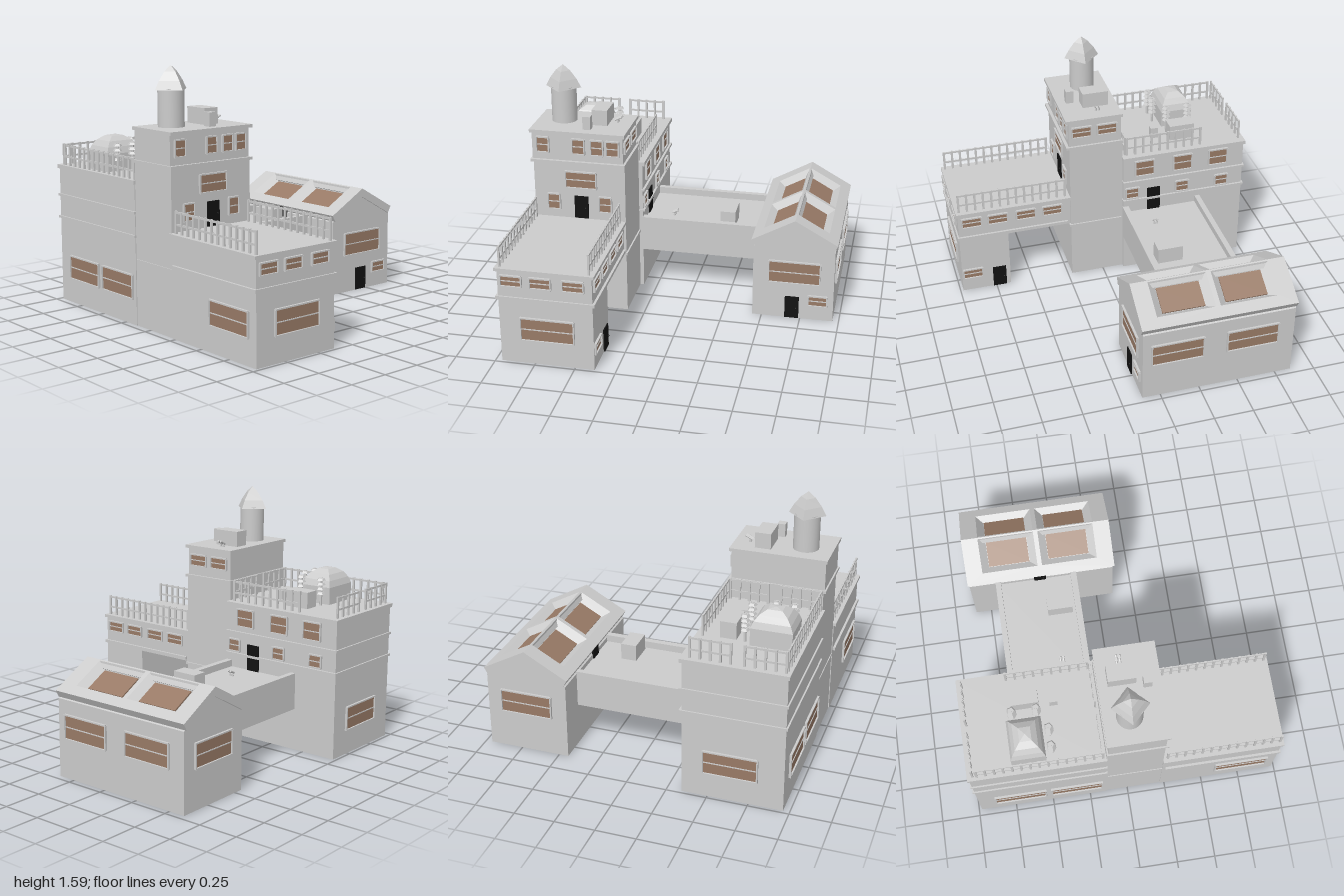
import * as THREE from 'three';

const mat = (color, extra = {}) => new THREE.MeshStandardMaterial({ color, ...extra });
const GREY = mat(0xcccccc, { flatShading: true });
const THIN = mat(0xcccccc, { flatShading: true, side: THREE.DoubleSide });
const GLASS = mat(0x987a66);
const BLACK = mat(0x111111);

function add(parent, name, geometry, material = GREY, x = 0, y = 0, z = 0) {
  const m = new THREE.Mesh(geometry, material);
  m.name = name;
  m.position.set(x, y, z);
  parent.add(m);
  return m;
}

// Box given by its limits on each axis
function box(parent, name, x0, x1, y0, y1, z0, z1, material = GREY) {
  return add(parent, name, new THREE.BoxGeometry(x1 - x0, y1 - y0, z1 - z0), material,
    (x0 + x1) / 2, (y0 + y1) / 2, (z0 + z1) / 2);
}

const TURN = { front: 0, left: Math.PI / 2, back: Math.PI, right: -Math.PI / 2 };

// Group on a wall: plane is the wall's coordinate, u the position along it
function onWall(parent, name, side, plane, u, y) {
  const g = new THREE.Group();
  g.name = name;
  const alongX = side === 'front' || side === 'back';
  g.position.set(alongX ? u : plane, y, alongX ? plane : u);
  g.rotation.y = TURN[side];
  parent.add(g);
  return g;
}

function windowOn(parent, side, plane, u0, u1, y0, y1) {
  const g = onWall(parent, 'window', side, plane, (u0 + u1) / 2, (y0 + y1) / 2);
  const w = Math.abs(u1 - u0) / 2, h = (y1 - y0) / 2, t = 0.009;
  box(g, 'windowGlass', -w, w, -h, h, -0.005, 0.004, GLASS);
  for (const s of [-1, 1]) {
    box(g, 'windowJamb', s * w - t / 2, s * w + t / 2, -h, h, -0.005, 0.014);
    box(g, 'windowRail', -w, w, s * h - t / 2, s * h + t / 2, -0.005, 0.014);
  }
  box(g, 'windowBar', -w, w, -0.003, 0.003, 0, 0.008);
}

function doorOn(parent, side, plane, u, y, w = 0.09, h = 0.15) {
  const g = onWall(parent, 'door', side, plane, u, y);
  box(g, 'doorPanel', -w / 2, w / 2, 0, h, -0.005, 0.008, BLACK);
  add(g, 'doorKnob', new THREE.SphereGeometry(0.006, 8, 6), BLACK, w * 0.32, h * 0.48, 0.012);
}

// Lattice railing between two ground points
function railing(parent, x0, z0, x1, z1, y, h = 0.135) {
  const g = new THREE.Group();
  g.name = 'railing';
  g.position.set(x0, y, z0);
  g.rotation.y = -Math.atan2(z1 - z0, x1 - x0);
  parent.add(g);
  const len = Math.hypot(x1 - x0, z1 - z0), n = Math.round(len / 0.055);
  for (let i = 0; i <= n; i++) {
    const u = (i / n) * len;
    box(g, 'railPost', u - 0.007, u + 0.007, 0, h, -0.006, 0.006);
  }
  for (const f of [0.4, 0.93]) box(g, 'railBar', 0, len, h * f - 0.006, h * f + 0.006, -0.004, 0.004);
}

function frontWing(root) {
  const g = new THREE.Group();
  g.name = 'frontWing';
  root.add(g);
  // Solid pier in front, then a bay open to the left and closed by a thin wall
  box(g, 'pier', -0.96, -0.38, 0, 0.42, 0.65, 0.98);
  box(g, 'bayWall', -0.96, -0.945, 0, 0.42, 0.22, 0.65);
  box(g, 'upperFloor', -0.96, -0.38, 0.415, 0.615, 0.22, 0.98);
  box(g, 'floorTrim', -0.975, -0.365, 0.425, 0.445, 0.24, 0.99);
  box(g, 'roofSlab', -0.975, -0.365, 0.61, 0.63, 0.22, 0.99);
  for (const x of [-0.945, -0.4]) railing(g, x, 0.25, x, 0.965, 0.63);
  windowOn(g, 'front', 0.98, -0.83, -0.5, 0.16, 0.31);
  for (const [a, b] of [[-0.94, -0.81], [-0.76, -0.63], [-0.56, -0.43]]) windowOn(g, 'front', 0.98, a, b, 0.515, 0.585);
  for (const z of [0.89, 0.715, 0.525, 0.345]) windowOn(g, 'left', -0.38, z - 0.065, z + 0.065, 0.515, 0.585);
  windowOn(g, 'left', -0.38, 0.84, 0.97, 0.1, 0.17);
  doorOn(g, 'left', -0.38, 0.725, 0.003);
  windowOn(g, 'right', -0.96, 0.58, 0.92, 0.16, 0.31);
}

function tower(root) {
  const g = new THREE.Group();
  g.name = 'tower';
  root.add(g);
  box(g, 'towerBody', -0.955, -0.365, 0, 1.01, -0.14, 0.22);
  box(g, 'lowerTrim', -0.96, -0.355, 0.4, 0.415, -0.13, 0.23);
  box(g, 'upperTrim', -0.97, -0.36, 1.005, 1.022, -0.14, 0.24);
  box(g, 'topRoom', -0.96, -0.375, 1.02, 1.2, -0.13, 0.22);
  box(g, 'towerRoof', -0.97, -0.36, 1.2, 1.22, -0.14, 0.24);
  for (const [a, b] of [[-0.93, -0.85], [-0.7, -0.62], [-0.58, -0.5], [-0.48, -0.4]]) windowOn(g, 'front', 0.22, a, b, 1.07, 1.17);
  windowOn(g, 'front', 0.22, -0.75, -0.55, 0.84, 0.95);
  for (const x of [-0.83, -0.495]) windowOn(g, 'front', 0.22, x - 0.04, x + 0.04, 0.685, 0.79);
  doorOn(g, 'front', 0.22, -0.65, 0.635);
  for (const z of [0.135, -0.035]) windowOn(g, 'left', -0.375, z - 0.065, z + 0.065, 1.085, 1.16);
  // Round turret with a curved four-sided cap
  add(g, 'turret', new THREE.CylinderGeometry(0.08, 0.08, 0.23, 24), mat(0xcccccc), -0.8, 1.335, 0.02);
  const cap = [[0, 1.44], [0.115, 1.44], [0.085, 1.495], [0.045, 1.548], [0, 1.585]].map(p => new THREE.Vector2(...p));
  add(g, 'turretCap', new THREE.LatheGeometry(cap, 4), THIN, -0.8, 0, 0.02);
  box(g, 'roofUnit', -0.605, -0.505, 1.22, 1.32, -0.08, 0.09);
  box(g, 'ventBox', -0.64, -0.59, 1.22, 1.305, 0.13, 0.18);
  // Small lookout instrument
  for (const z of [-0.005, 0.015]) {
    add(g, 'scopeStand', new THREE.CylinderGeometry(0.004, 0.008, 0.03, 6), GREY, -0.455, 1.235, z);
    const tube = add(g, 'scopeTube', new THREE.CylinderGeometry(0.007, 0.007, 0.05, 8), GREY, -0.45, 1.248, z);
    tube.rotation.z = -1.1;
  }
}

function backWing(root) {
  const g = new THREE.Group();
  g.name = 'backWing';
  root.add(g);
  box(g, 'backBody', -0.96, -0.34, 0, 0.88, -0.98, -0.14);
  for (const [a, b] of [[0.545, 0.56], [0.69, 0.705], [0.87, 0.895]]) box(g, 'wallTrim', -0.97, -0.325, a, b, -0.99, -0.135);
  const y = 0.895;
  railing(g, -0.945, -0.93, -0.945, -0.16, y);
  railing(g, -0.37, -0.68, -0.37, -0.17, y);
  for (const [x0, x1] of [[-0.94, -0.7], [-0.62, -0.38]])
    for (const z of [-0.955, -0.16]) railing(g, x0, z, x1, z, y);
  for (const z of [-0.285, -0.55, -0.8]) windowOn(g, 'left', -0.34, z - 0.065, z + 0.065, 0.74, 0.855);
  for (const z of [-0.2, -0.55, -0.83]) windowOn(g, 'left', -0.34, z - 0.045, z + 0.045, 0.57, 0.65);
  doorOn(g, 'left', -0.34, -0.35, 0.46, 0.09, 0.17);
  windowOn(g, 'back', -0.98, -0.8, -0.47, 0.16, 0.31);
  for (const [a, b] of [[-0.87, -0.54], [-0.5, -0.17]]) windowOn(g, 'right', -0.96, a, b, 0.16, 0.31);
  // Square pillow dome
  const dome = [[0.172, 0], [0.172, 0.11], [0.15, 0.15], [0.115, 0.185], [0.06, 0.212], [0, 0.22]].map(p => new THREE.Vector2(...p));
  const geo = new THREE.LatheGeometry(dome, 4, Math.PI / 4).scale(1.03, 1, 0.87);
  add(g, 'roofDome', geo, THIN, -0.785, y, -0.605);
  box(g, 'roofUnit', -0.57, -0.47, y, 1.0, -0.67, -0.5);
  box(g, 'ventBox', -0.575, -0.53, y, 0.97, -0.435, -0.385);
  // Five-sided stacked insulators around the dome
  for (const [x, z] of [[-0.62, -0.67], [-0.62, -0.52], [-0.75, -0.46], [-0.86, -0.46]]) {
    add(g, 'insulatorStem', new THREE.CylinderGeometry(0.01, 0.01, 0.18, 5), GREY, x, y + 0.09, z);
    for (let i = 0; i < 4; i++)
      add(g, 'insulatorDisc', new THREE.CylinderGeometry(0.02, 0.03, 0.014, 5), GREY, x, y + 0.08 + i * 0.03, z);
  }
}

function bridge(root) {
  const g = new THREE.Group();
  g.name = 'bridge';
  root.add(g);
  box(g, 'bridgeDeck', -0.345, 0.45, 0.27, 0.46, -0.68, -0.135);
  for (const [a, b] of [[-0.68, -0.645], [-0.175, -0.135]]) box(g, 'parapet', -0.345, 0.45, 0.27, 0.505, a, b);
  box(g, 'bridgeUnit', 0.17, 0.27, 0.46, 0.565, -0.36, -0.195);
  for (const z of [-0.322, -0.302]) {
    add(g, 'scopeStand', new THREE.CylinderGeometry(0.004, 0.008, 0.03, 6), GREY, -0.16, 0.475, z);
    const tube = add(g, 'scopeTube', new THREE.CylinderGeometry(0.007, 0.007, 0.04, 8), GREY, -0.155, 0.488, z);
    tube.rotation.z = -1.1;
  }
}

function house(root) {
  const g = new THREE.Group();
  g.name = 'house';
  root.add(g);
  const wall = new THREE.Shape([[0.44, 0], [0.96, 0], [0.96, 0.49], [0.7, 0.635], [0.44, 0.49]].map(p => new THREE.Vector2(...p)));
  add(g, 'houseBody', new THREE.ExtrudeGeometry(wall, { depth: 0.97, bevelEnabled: false }), GREY, 0, 0, -0.855);
  // Each slope is a slab with two sunken skylights
  const rect = (P, x0, x1, y0, y1) => new P([[x0, y0], [x1, y0], [x1, y1], [x0, y1]].map(p => new THREE.Vector2(...p)));
  for (const turn of [0, Math.PI]) {
    const side = new THREE.Group(), slope = new THREE.Group();
    side.name = 'roofSide';
    slope.name = 'roofSlope';
    side.position.set(0.7, 0.69, -0.37);
    side.rotation.y = turn;
    slope.rotation.z = -0.507;
    side.add(slope);
    g.add(side);
    const shape = rect(THREE.Shape, 0, 0.313, -0.495, 0.495);
    for (const c of [-0.2, 0.2]) shape.holes.push(rect(THREE.Path, 0.01, 0.24, c - 0.185, c + 0.185));
    add(slope, 'roofSlab', new THREE.ExtrudeGeometry(shape, { depth: 0.05, bevelEnabled: false }).rotateX(Math.PI / 2));
    for (const c of [-0.2, 0.2]) {
      const well = new THREE.CylinderGeometry(Math.SQRT1_2, 0.74 * Math.SQRT1_2, 0.045, 4, 1, true)
        .rotateY(Math.PI / 4).scale(0.23, 1, 0.37);
      add(slope, 'skylightWell', well, THIN, 0.125, -0.0225, c);
      box(slope, 'skylightGlass', 0.043, 0.207, -0.05, -0.038, c - 0.135, c + 0.135, GLASS);
    }
  }
  for (const [a, b] of [[-0.27, 0.06], [-0.75, -0.42]]) windowOn(g, 'left', 0.96, a, b, 0.25, 0.4);
  windowOn(g, 'front', 0.115, 0.54, 0.87, 0.25, 0.4);
  windowOn(g, 'front', 0.115, 0.8, 0.92, 0.1, 0.17);
  doorOn(g, 'front', 0.115, 0.695, 0.003);
  windowOn(g, 'back', -0.855, 0.54, 0.87, 0.25, 0.4);
  doorOn(g, 'right', 0.44, -0.38, 0.46, 0.08, 0.08);
}

export function createModel() {
  const root = new THREE.Group();
  root.name = 'compound';
  for (const build of [frontWing, tower, backWing, bridge, house]) build(root);
  return root;
}
